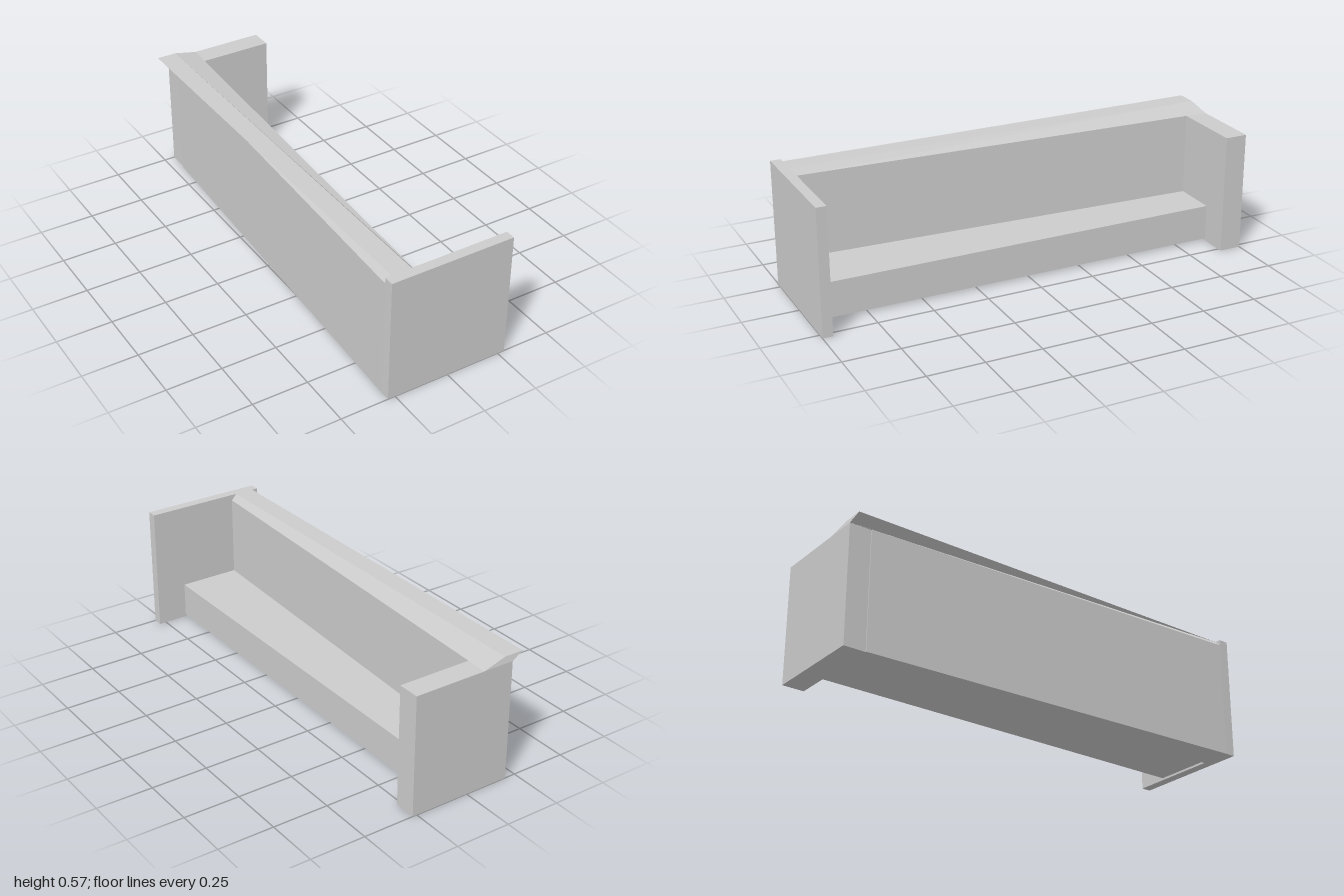
import * as THREE from 'three';

const material = new THREE.MeshStandardMaterial({ color: 0xcccccc, flatShading: true });

// The back wall runs at a slight angle: its outer and inner faces as a function of z
const outer = (z) => -0.283 + 0.0425 * (0.955 - z);
const inner = (z) => outer(z) + 0.143;

// Six-sided block whose corners are placed by rule(right, top, front), each argument a boolean
function block(name, rule) {
  let geometry = new THREE.BoxGeometry(1, 1, 1);
  const p = geometry.attributes.position;
  for (let i = 0; i < p.count; i++) {
    p.setXYZ(i, ...rule(p.getX(i) > 0, p.getY(i) > 0, p.getZ(i) > 0));
  }
  geometry = geometry.toNonIndexed();
  geometry.computeVertexNormals();
  const mesh = new THREE.Mesh(geometry, material);
  mesh.name = name;
  return mesh;
}

const box = (name, x0, x1, y0, y1, z0, z1) =>
  block(name, (r, t, f) => [r ? x1 : x0, t ? y1 : y0, f ? z1 : z0]);

export function createModel() {
  const group = new THREE.Group();
  group.name = 'bench';

  // End panels
  group.add(box('frontEndPanel', -0.283, 0.283, 0, 0.567, 0.955, 1));
  group.add(box('backEndPanel', -0.2, 0.27, 0, 0.54, -1, -0.9));

  // Angled back wall between the panels
  group.add(block('backrest', (r, t, f) => {
    const z = f ? 0.955 : -0.9;
    return [r ? inner(z) : outer(z), t ? 0.54 : 0, z];
  }));

  // Seat, meeting the angled wall
  group.add(block('seat', (r, t, f) => {
    const z = f ? 0.955 : -0.9;
    return [r ? 0.14 : inner(z), t ? 0.17 : 0.01, z];
  }));

  // Top rail: base follows the angled wall, flat top runs straight
  group.add(block('topRail', (r, t, f) => {
    const z = f ? 0.955 : (t ? -0.993 : -1);
    if (t) return [r ? -0.165 : -0.255, 0.567, z];
    return [r ? inner(z) : outer(z), 0.54, z];
  }));

  return group;
}
